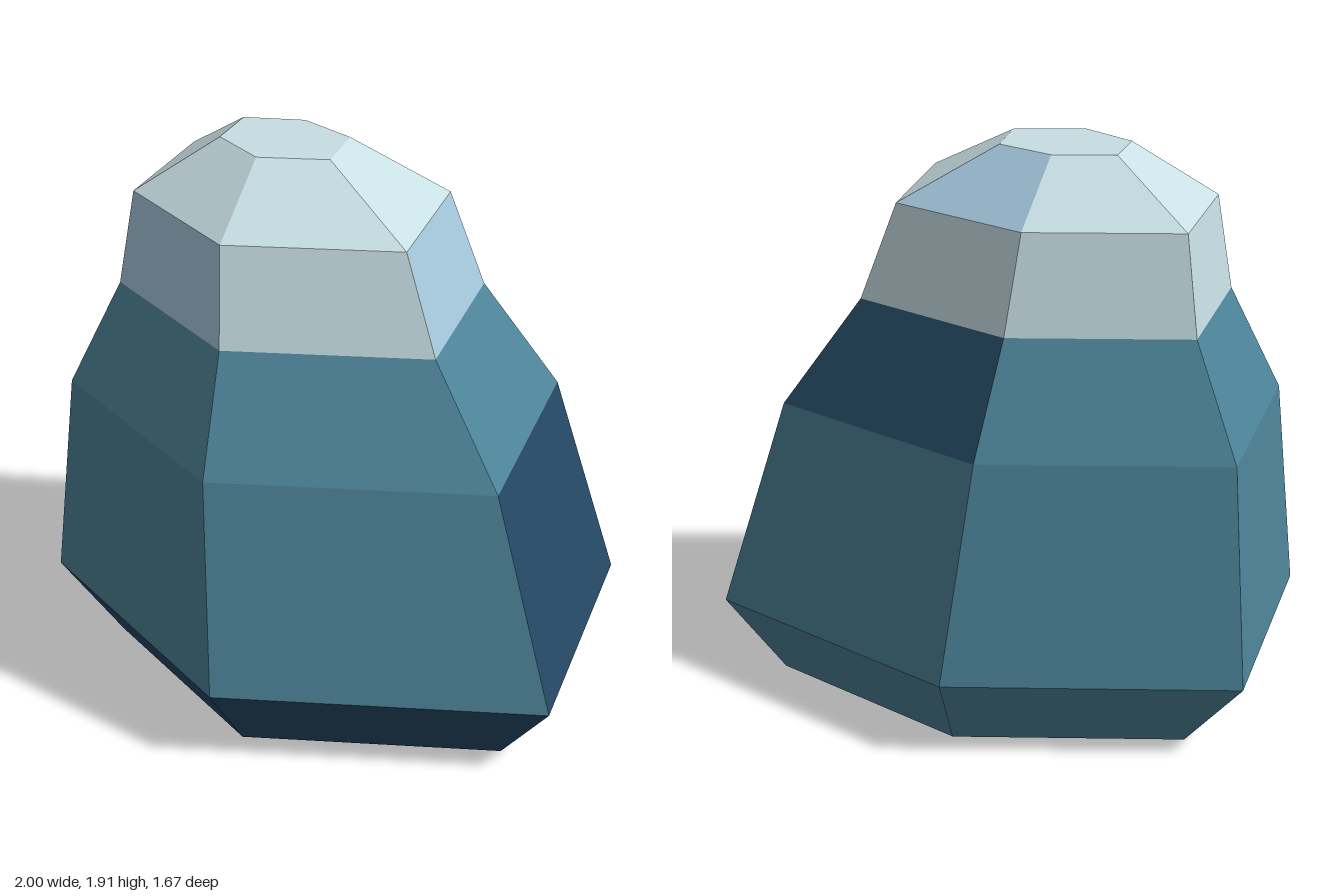
import * as THREE from 'three';

// Six-cornered outline (x, z), running front-left corner, front, right, back
const outline = [[1, 0.41], [-0.04, 0.83], [-0.93, 0.37], [-1, -0.51], [-0.08, -0.84], [0.86, -0.53]];

// Each level: height, outline scale, x offset, z offset
const levels = [
  [0, 0.79, 0.01, -0.005],
  [0.28, 1, 0, 0],
  [1.02, 0.845, -0.085, -0.005],
  [1.39, 0.62, -0.14, -0.025],
  [1.72, 0.53, -0.18, -0.035],
  [1.91, 0.215, -0.215, -0.06],
];
const rings = levels.map(([y, s, dx, dz]) => outline.map(([x, z]) => [x * s + dx, y, z * s + dz]));

const material = (name, color) => {
  const m = new THREE.MeshStandardMaterial({ color, flatShading: true });
  m.name = name;
  return m;
};

// Builds a mesh from [material index, corners] faces, each a convex polygon
function facetMesh(name, faces, materials) {
  const positions = [];
  const geometry = new THREE.BufferGeometry();
  for (const [index, corners] of faces) {
    const start = positions.length / 3;
    for (let i = 1; i < corners.length - 1; i++) {
      positions.push(...corners[0], ...corners[i], ...corners[i + 1]);
    }
    geometry.addGroup(start, positions.length / 3 - start, index);
  }
  geometry.setAttribute('position', new THREE.Float32BufferAttribute(positions, 3));
  geometry.computeVertexNormals();
  const mesh = new THREE.Mesh(geometry, materials);
  mesh.name = name;
  return mesh;
}

// Side facets between two levels, one material index per side
const band = (level, colours) => colours.map((colour, i) => {
  const j = (i + 1) % 6;
  const low = rings[level], high = rings[level + 1];
  return [colour, [low[j], low[i], high[i], high[j]]];
});

export function createModel() {
  const materials = [
    material('teal rock', 0x4d8499),
    material('navy rock', 0x264a66),
    material('pale snow', 0xc8dfe4),
    material('blue snow', 0xa6c8de),
  ];
  const [T, N, S, B] = [0, 1, 2, 3];

  // Side order: front left, front right, right, back right, back left, left
  const parts = {
    base: [...band(0, [N, N, T, T, T, T]), [N, rings[0]]],
    body: band(1, [T, T, T, T, T, N]),
    shoulder: band(2, [T, T, T, T, N, T]),
    snowBand: band(3, [S, B, S, S, S, B]),
    snowCap: [...band(4, [S, S, S, S, B, S]), [S, [...rings[5]].reverse()]],
  };

  const group = new THREE.Group();
  group.name = 'snowyRock';
  for (const [name, faces] of Object.entries(parts)) group.add(facetMesh(name, faces, materials));
  return group;
}
